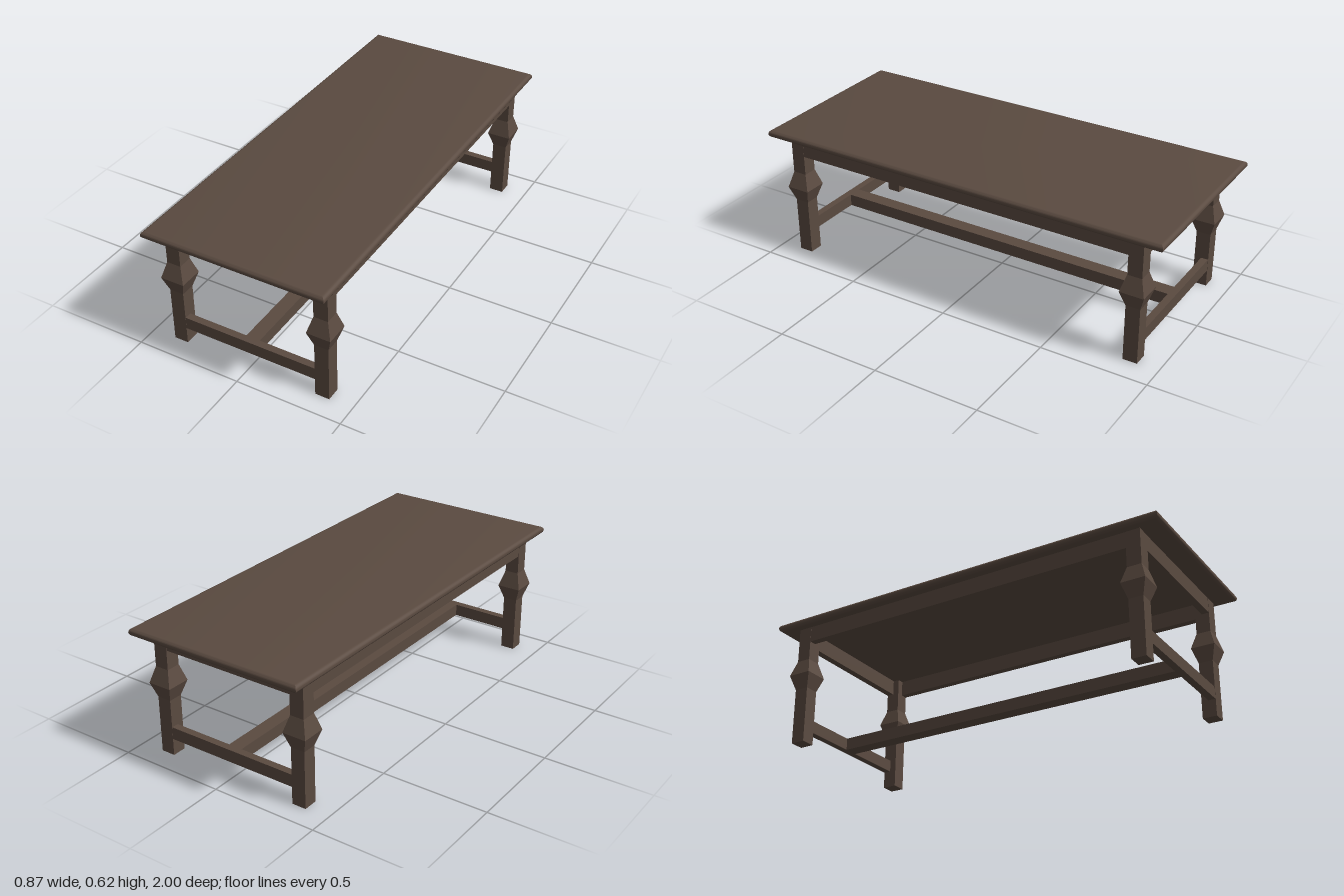
import * as THREE from 'three';
import { toCreasedNormals } from 'three/addons/utils/BufferGeometryUtils.js';

const wood = new THREE.MeshStandardMaterial({ color: 0x5a4a40 });
const LEG_X = 0.3565, LEG_Z = 0.867, LEG_HALF = 0.0335;
const TOP_Y = 0.583, RAIL = 0.034;

function addMesh(parent, name, geometry, x = 0, y = 0, z = 0) {
  const mesh = new THREE.Mesh(geometry, wood);
  mesh.name = name;
  mesh.position.set(x, y, z);
  parent.add(mesh);
}

// Slab with half-round edges and mitred corners, stacked from rectangular rings
function bullnoseSlab(halfX, halfZ, radius, steps) {
  const positions = [], index = [];
  for (let i = 0; i <= steps; i++) {
    const a = -Math.PI / 2 + (Math.PI * i) / steps;
    const inset = radius * (1 - Math.cos(a)), y = radius * Math.sin(a);
    const x = halfX - inset, z = halfZ - inset;
    positions.push(x, y, z, x, y, -z, -x, y, -z, -x, y, z);
  }
  for (let i = 0; i < steps; i++) {
    for (let j = 0; j < 4; j++) {
      const a = i * 4 + j, b = i * 4 + ((j + 1) % 4);
      index.push(a, b, b + 4, a, b + 4, a + 4);
    }
  }
  const t = steps * 4;
  index.push(0, 2, 1, 0, 3, 2, t, t + 1, t + 2, t, t + 2, t + 3);
  const geometry = new THREE.BufferGeometry();
  geometry.setAttribute('position', new THREE.Float32BufferAttribute(positions, 3));
  geometry.setIndex(index);
  return toCreasedNormals(geometry, 0.45);
}

// Square leg with a faceted bulge: [half width, height]
function legGeometry() {
  const profile = [[0, 0], [LEG_HALF, 0], [LEG_HALF, 0.268], [0.0565, 0.338],
    [LEG_HALF, 0.415], [LEG_HALF, TOP_Y], [0, TOP_Y]]
    .map(([w, y]) => new THREE.Vector2(w * Math.SQRT2, y));
  const geometry = new THREE.LatheGeometry(profile, 4, Math.PI / 4).toNonIndexed();
  geometry.computeVertexNormals();
  return geometry;
}

export function createModel() {
  const table = new THREE.Group();
  table.name = 'table';

  addMesh(table, 'tableTop', bullnoseSlab(0.433, 1, 0.0185, 10), 0, 0.6015, 0);

  const leg = legGeometry();
  const innerX = LEG_X - LEG_HALF, innerZ = LEG_Z - LEG_HALF;
  const railX = LEG_X + LEG_HALF - RAIL / 2 - 0.001;
  const railZ = LEG_Z + LEG_HALF - RAIL / 2 - 0.001;
  const endApron = new THREE.BoxGeometry(innerX * 2, 0.076, RAIL);
  const sideApron = new THREE.BoxGeometry(RAIL, 0.076, innerZ * 2);
  const endStretcher = new THREE.BoxGeometry(innerX * 2, 0.058, RAIL);

  for (const s of [1, -1]) {
    // Legs at both ends
    addMesh(table, s > 0 ? 'frontLeftLeg' : 'backLeftLeg', leg, LEG_X, 0, s * LEG_Z);
    addMesh(table, s > 0 ? 'frontRightLeg' : 'backRightLeg', leg, -LEG_X, 0, s * LEG_Z);
    // Aprons under the top
    addMesh(table, s > 0 ? 'frontApron' : 'backApron', endApron, 0, 0.545, s * railZ);
    addMesh(table, s > 0 ? 'leftApron' : 'rightApron', sideApron, s * railX, 0.545, 0);
    // Low rails between each pair of legs
    addMesh(table, s > 0 ? 'frontStretcher' : 'backStretcher', endStretcher, 0, 0.109, s * railZ);
  }

  // Long rail joining the two end stretchers
  const length = 2 * (railZ - RAIL / 2);
  addMesh(table, 'centreStretcher', new THREE.BoxGeometry(0.067, 0.058, length), 0, 0.109, 0);

  return table;
}
